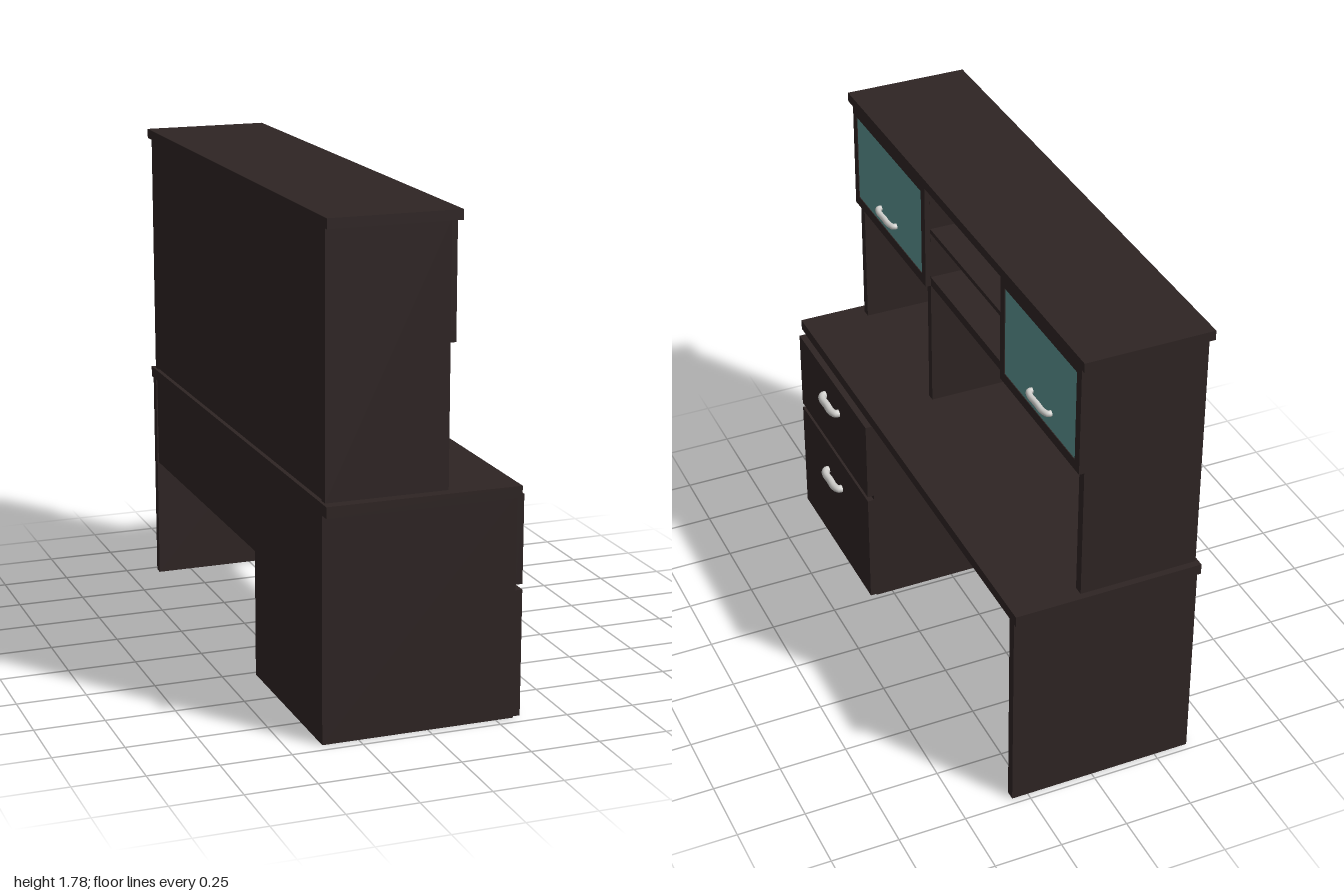
import * as THREE from 'three';

export function createModel() {
  const desk = new THREE.Group();
  desk.name = 'deskWithHutch';

  const wood = new THREE.MeshStandardMaterial({ color: 0x2e2423 });
  wood.name = 'darkWood';
  const glass = new THREE.MeshStandardMaterial({ color: 0x5b9391 });
  glass.name = 'tealPanel';
  const metal = new THREE.MeshStandardMaterial({ color: 0xd0cfcc });
  metal.name = 'brushedMetal';

  // Board given by its extents along x, y and z
  function board(name, [x0, x1], [y0, y1], [z0, z1], material = wood) {
    const mesh = new THREE.Mesh(new THREE.BoxGeometry(x1 - x0, y1 - y0, z1 - z0), material);
    mesh.position.set((x0 + x1) / 2, (y0 + y1) / 2, (z0 + z1) / 2);
    mesh.name = name;
    desk.add(mesh);
  }

  // Bow handle that stands out along +x from a door or drawer front
  function handle(name, x, y, z, reach, radius) {
    const h = 0.083 - radius;
    const path = new THREE.CatmullRomCurve3([
      [-0.005, -h], [reach * 0.55, -h], [reach, -h * 0.68], [reach, 0],
      [reach, h * 0.68], [reach * 0.55, h], [-0.005, h],
    ].map(([px, pz]) => new THREE.Vector3(px, 0, pz)));
    const mesh = new THREE.Mesh(new THREE.TubeGeometry(path, 32, radius, 12), metal);
    mesh.position.set(x, y, z);
    mesh.name = name;
    desk.add(mesh);
  }

  // Lower desk
  board('desktop', [-0.38, 0.315], [0.8, 0.84], [-1, 1]);
  board('pedestal', [-0.38, 0.315], [0, 0.8], [0.27, 0.96]);
  board('sideLeg', [-0.38, 0.31], [0, 0.8], [-0.975, -0.94]);
  board('modestyPanel', [-0.375, -0.355], [0.46, 0.8], [-0.94, 0.27]);

  // Drawers
  board('upperDrawer', [0.315, 0.34], [0.48, 0.798], [0.27, 0.96]);
  board('lowerDrawer', [0.315, 0.34], [0.005, 0.46], [0.27, 0.96]);
  handle('upperDrawerHandle', 0.34, 0.688, 0.62, 0.022, 0.015);
  handle('lowerDrawerHandle', 0.34, 0.332, 0.62, 0.022, 0.015);

  // Hutch carcass
  const depth = [-0.37, 0.065];
  const inner = [-0.35, 0.064];
  board('hutchTop', [-0.378, 0.088], [1.75, 1.785], [-1, 1]);
  board('hutchBack', [-0.37, -0.35], [0.845, 1.75], [-0.94, 0.925]);
  board('hutchSide', depth, [0.84, 1.75], [0.925, 0.96]);
  board('hutchSide', depth, [0.84, 1.75], [-0.975, -0.94]);
  board('hutchShelf', inner, [1.34, 1.375], [-0.94, 0.925]);
  board('lowerDivider', inner, [0.84, 1.34], [0.285, 0.315]);
  board('upperDivider', inner, [1.375, 1.75], [0.285, 0.315]);
  board('upperDivider', inner, [1.375, 1.75], [-0.4, -0.36]);
  board('cubbyShelf', inner, [1.558, 1.575], [-0.36, 0.285]);

  // Framed hutch doors
  function door(z0, z1, zHandle) {
    const front = [0.065, 0.085], rim = 0.034;
    board('doorRail', front, [1.34, 1.378], [z0, z1]);
    board('doorRail', front, [1.718, 1.75], [z0, z1]);
    board('doorStile', front, [1.378, 1.718], [z0, z0 + rim]);
    board('doorStile', front, [1.378, 1.718], [z1 - rim, z1]);
    board('doorPanel', [0.073, 0.082], [1.378, 1.718], [z0 + rim, z1 - rim], glass);
    handle('doorHandle', 0.082, 1.443, zHandle, 0.02, 0.011);
  }
  door(0.283, 0.96, 0.635);
  door(-0.977, -0.362, -0.685);

  return desk;
}
